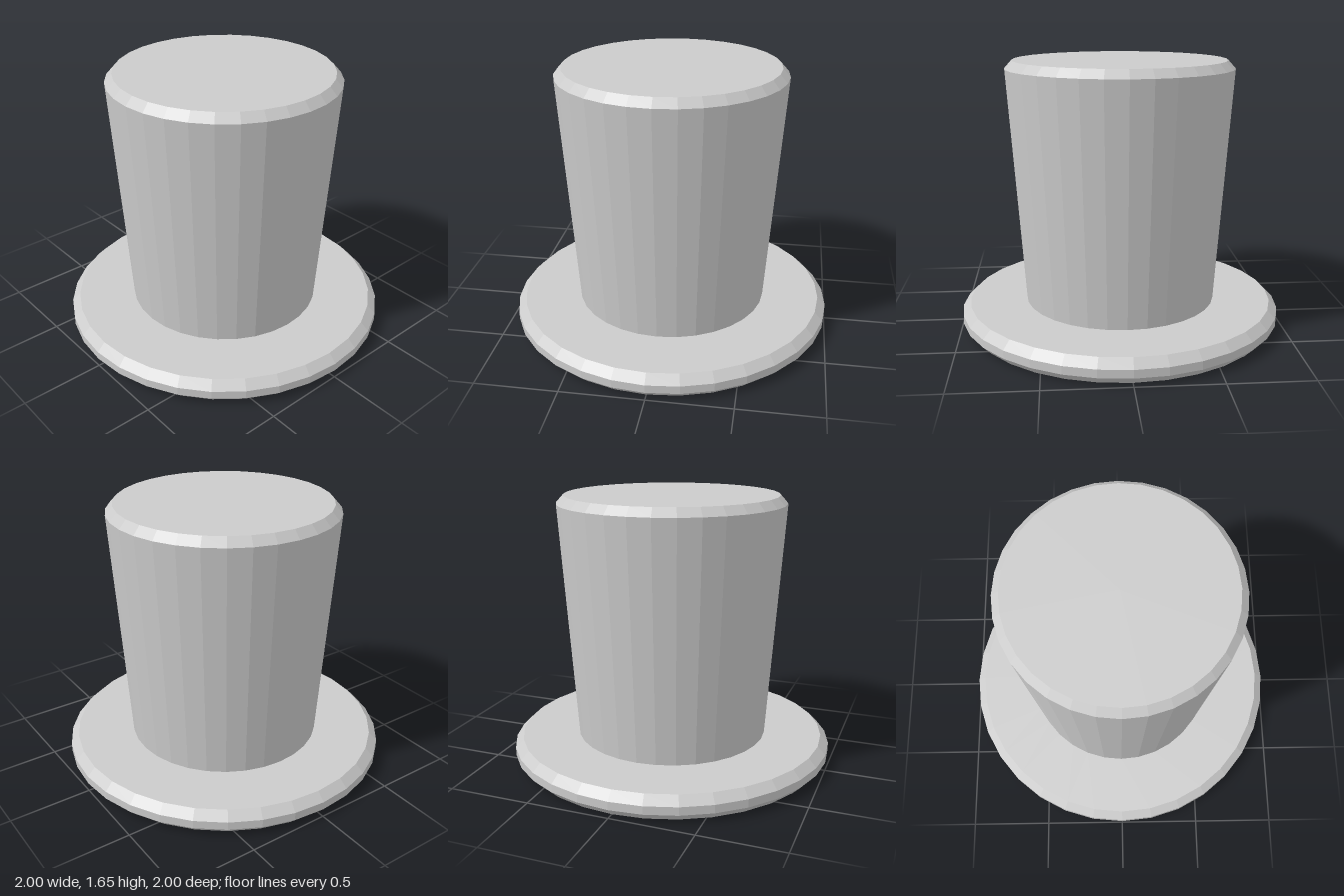
import * as THREE from 'three';

const SEGMENTS = 32;

// Faceted surface of revolution from [radius, height] pairs; rising profiles face outward
function turned(name, profile, material) {
  const points = profile.map(([r, y]) => new THREE.Vector2(r, y));
  const mesh = new THREE.Mesh(new THREE.LatheGeometry(points, SEGMENTS), material);
  mesh.name = name;
  return mesh;
}

export function createModel() {
  const hat = new THREE.Group();
  hat.name = 'topHat';
  const felt = new THREE.MeshStandardMaterial({ color: 0xcccccc, flatShading: true });

  // Flat ring brim with bevelled rim
  hat.add(turned('brim', [
    [0.49, 0], [0.95, 0], [1, 0.05], [1, 0.1], [0.95, 0.15], [0.595, 0.15],
  ], felt));

  // Flared crown with bevelled top edge
  hat.add(turned('crown', [
    [0.595, 0.15], [0.695, 1.6], [0.65, 1.65], [0, 1.65],
  ], felt));

  // Hollow inside, open at the bottom
  hat.add(turned('lining', [
    [0, 1.55], [0.59, 1.55], [0.49, 0],
  ], felt));

  return hat;
}
